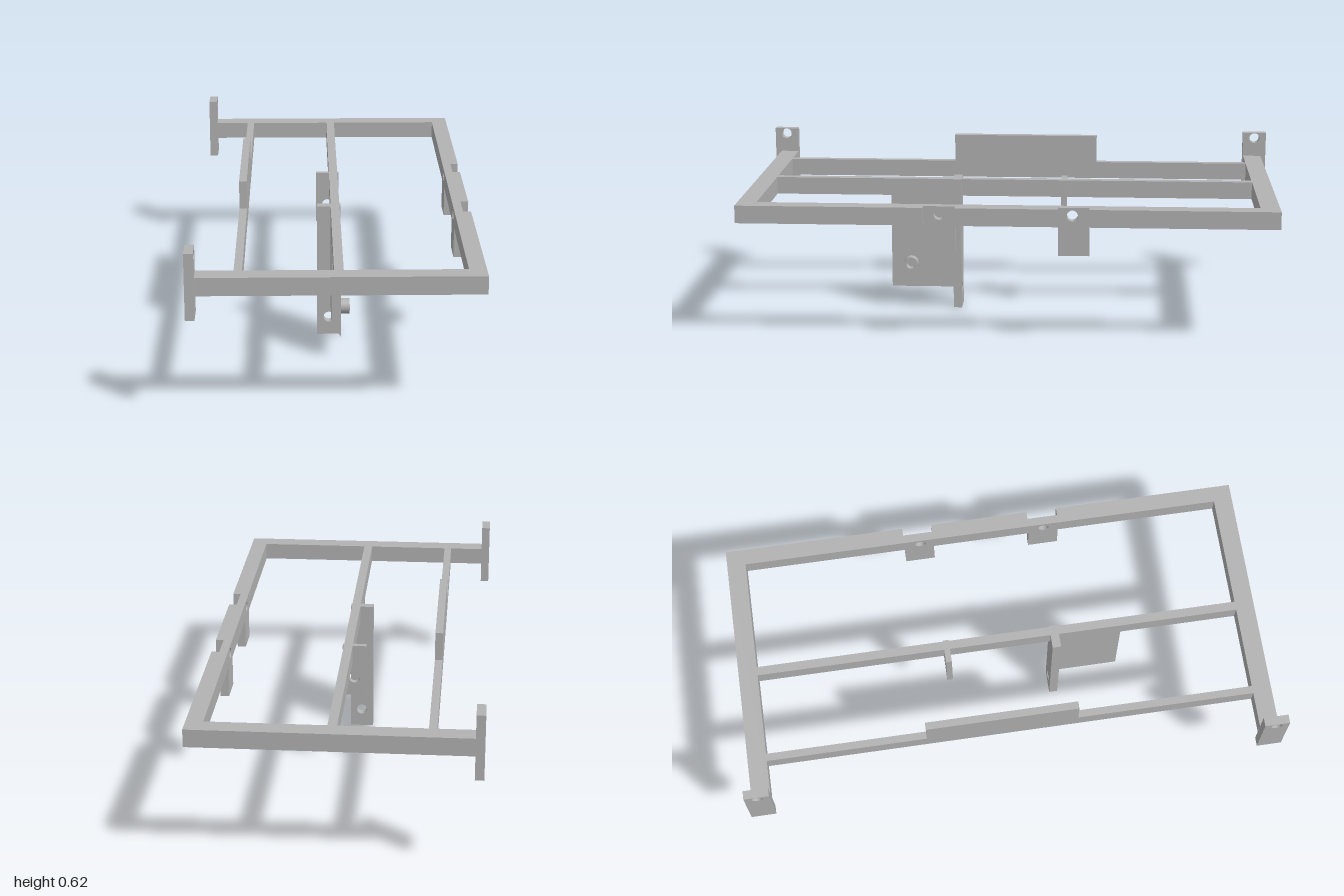
import * as THREE from 'three';

const steel = new THREE.MeshStandardMaterial({ color: 0xb2b2b2 });
steel.name = 'plain steel grey';

const RAIL_BOTTOM = 0.445, RAIL_TOP = 0.51;

// Closed outline, with an optional list of round holes [x, y, radius]
function outline(points, holes = []) {
  const shape = new THREE.Shape(points.map(([x, y]) => new THREE.Vector2(x, y)));
  for (const [x, y, r] of holes) {
    const hole = new THREE.Path();
    hole.absarc(x, y, r, 0, Math.PI * 2, true);
    shape.holes.push(hole);
  }
  return shape;
}

const rect = (x0, y0, x1, y1) => [[x0, y0], [x1, y0], [x1, y1], [x0, y1]];

const extrude = (shape, depth) =>
  new THREE.ExtrudeGeometry(shape, { depth, bevelEnabled: false, curveSegments: 16 });

export function createModel() {
  const group = new THREE.Group();

  const add = (name, geometry) => {
    const mesh = new THREE.Mesh(geometry, steel);
    mesh.name = name;
    group.add(mesh);
    return mesh;
  };

  // Box given by its limits on each axis
  const bar = (name, x0, x1, y0, y1, z0, z1) =>
    add(name, new THREE.BoxGeometry(x1 - x0, y1 - y0, z1 - z0)
      .translate((x0 + x1) / 2, (y0 + y1) / 2, (z0 + z1) / 2));

  // Plate facing x, with one hole at (z, y)
  const sidePlate = (name, x0, x1, y0, y1, z0, z1, holeZ, holeY) =>
    add(name, extrude(outline(rect(-z1, y0, -z0, y1), [[-holeZ, holeY, 0.02]]), x1 - x0)
      .rotateY(Math.PI / 2).translate(x0, 0, 0));

  // Plate facing z, hung on the middle rail, with a hole near its lower end
  const hanger = (name, bottom, z0, z1) =>
    add(name, extrude(outline(rect(-0.06, bottom, 0.028, RAIL_TOP), [[-0.016, bottom + 0.07, 0.02]]), z1 - z0)
      .translate(0, 0, z0));

  // Outer frame: two L-shaped corners and the piece between the notches
  for (const [name, end, inner, stop] of [
    ['frontFrameCorner', 0.977, 0.907, 0.298],
    ['backFrameCorner', -0.98, -0.91, -0.3],
  ]) {
    const points = [[-0.477, -end], [0.506, -end], [0.506, -stop], [0.445, -stop], [0.445, -inner], [-0.477, -inner]];
    add(name, extrude(outline(points), RAIL_TOP - RAIL_BOTTOM)
      .rotateX(-Math.PI / 2).translate(0, RAIL_BOTTOM, 0));
  }
  bar('frameSideCentre', 0.445, 0.506, RAIL_BOTTOM, RAIL_TOP, -0.187, 0.183);

  // Drilled tabs set into the notches
  sidePlate('frontNotchTab', 0.445, 0.477, 0.332, RAIL_TOP, 0.183, 0.298, 0.241, 0.48);
  sidePlate('backNotchTab', 0.445, 0.477, 0.332, RAIL_TOP, -0.3, -0.187, -0.238, 0.48);

  // Upright mounting tabs at the open ends of the frame
  for (const side of [1, -1]) {
    const z = 0.954 * side;
    sidePlate(side > 0 ? 'frontEndTab' : 'backEndTab', -0.508, -0.476, 0.366, 0.604, z - 0.046, z + 0.046, z, 0.583);
  }

  // Long inner rails, the right one with a raised wall
  bar('middleRail', -0.009, 0.024, RAIL_BOTTOM, RAIL_TOP, -0.91, 0.907);
  bar('rightRail', -0.346, -0.318, RAIL_BOTTOM, RAIL_TOP, -0.91, 0.907);
  bar('raisedWall', -0.346, -0.318, RAIL_TOP, 0.615, -0.317, 0.248);

  // Hangers
  hanger('longHanger', 0, 0.197, 0.229);
  hanger('shortHanger', 0.312, -0.207, -0.185);

  // Drop plate, its lower edge rounded clear of the hanger hole
  const drop = new THREE.Shape();
  const r = 0.042, cx = -0.016, cy = 0.07;
  const angleAt = x => Math.acos((x - cx) / r);
  drop.moveTo(0.024, RAIL_BOTTOM);
  drop.lineTo(-0.009, RAIL_BOTTOM);
  drop.absarc(cx, cy, r, angleAt(-0.009), angleAt(0.024), true);
  drop.closePath();
  add('dropPlate', extrude(drop, 0.238).translate(0, 0, 0.229));

  // Hollow boss on the drop plate: outer wall, rim, bore
  const boss = [[0.028, 0], [0.028, 0.034], [0.028, 0.034], [0.017, 0.034], [0.017, 0.034], [0.017, 0]]
    .map(([x, y]) => new THREE.Vector2(x, y));
  for (let i = 0; i < 6; i += 2) {
    add(['bossWall', 'bossRim', 'bossBore'][i / 2],
      new THREE.LatheGeometry(i === 2 ? [boss[1], boss[3]] : [boss[i], boss[i + 1]], 32)
        .rotateZ(-Math.PI / 2).translate(0.024, 0.178, 0.392));
  }

  return group;
}
